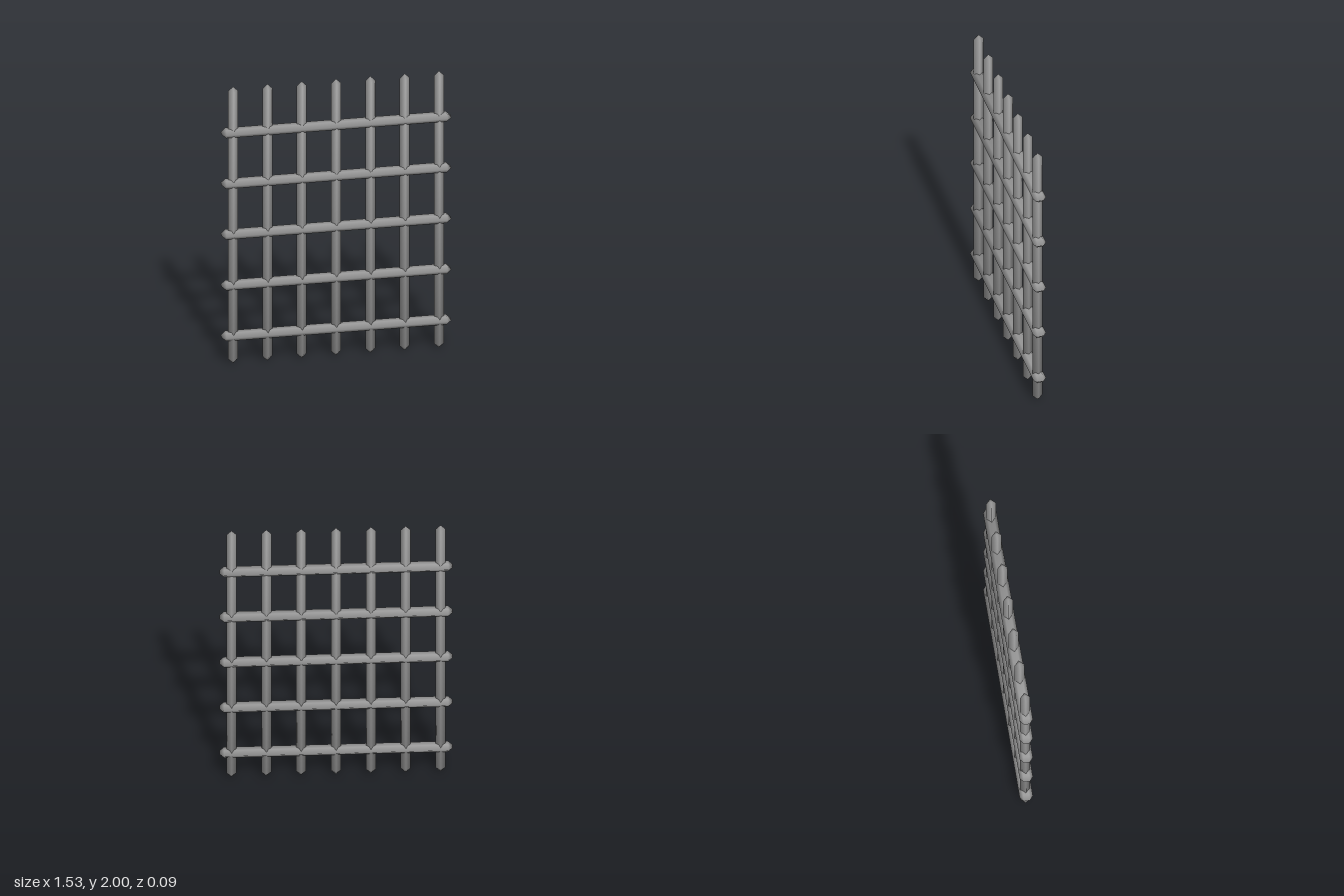
import * as THREE from 'three';

// A long bar along y whose section runs counter-clockwise in [x, z].
// Both ends taper to a ridge of half-length `ridge` along z (0 gives a point).
function barGeometry(section, ridge, length, taper) {
  const n = section.length, h = length / 2;
  const positions = [], normals = [], index = [];
  const edgeNormal = (i) => {
    const [ax, az] = section[(i + n) % n], [bx, bz] = section[(i + 1) % n];
    return new THREE.Vector3(bz - az, 0, ax - bx).normalize();
  };
  const levels = [[-h, true], [-h + taper, false], [h - taper, false], [h, true]];
  for (const [y, tip] of levels) {
    section.forEach(([x, z], i) => {
      positions.push(tip ? 0 : x, y, tip ? THREE.MathUtils.clamp(z, -ridge, ridge) : z);
      // soft shading that turns toward the ends
      const normal = tip ? new THREE.Vector3() : edgeNormal(i - 1).add(edgeNormal(i)).normalize();
      normal.y = Math.sign(y) * (tip ? 1 : 0.37);
      normals.push(...normal.normalize().toArray());
    });
  }
  for (let j = 0; j < 3; j++) {
    for (let i = 0; i < n; i++) {
      const a = j * n + i, b = j * n + (i + 1) % n, c = b + n, d = a + n;
      index.push(a, d, b, b, d, c);
    }
  }
  const geometry = new THREE.BufferGeometry();
  geometry.setAttribute('position', new THREE.Float32BufferAttribute(positions, 3));
  geometry.setAttribute('normal', new THREE.Float32BufferAttribute(normals, 3));
  geometry.setIndex(index);
  return geometry;
}

export function createModel() {
  const group = new THREE.Group();
  group.name = 'barredGrate';
  const iron = new THREE.MeshStandardMaterial({ color: 0x999999 });
  iron.name = 'grey iron';

  // Upright bars: diamond section with pointed ends
  const r = 0.033;
  const upright = barGeometry([[r, 0], [0, r], [-r, 0], [0, -r]], 0, 2, 0.032);
  for (let i = -3; i <= 3; i++) {
    const bar = new THREE.Mesh(upright, iron);
    bar.name = 'uprightBar';
    bar.position.set(i * 0.229, 1, 0);
    group.add(bar);
  }

  // Cross bars: flattened hexagon section with chisel ends
  const t = 0.029, w = 0.044, f = 0.02;
  const cross = barGeometry([[t, -f], [t, f], [0, w], [-t, f], [-t, -f], [0, -w]], f, 1.532, 0.03);
  for (let i = 0; i < 5; i++) {
    const bar = new THREE.Mesh(cross, iron);
    bar.name = 'crossBar';
    bar.rotation.z = Math.PI / 2;
    bar.position.y = 0.2 + i * 0.367;
    group.add(bar);
  }
  return group;
}
